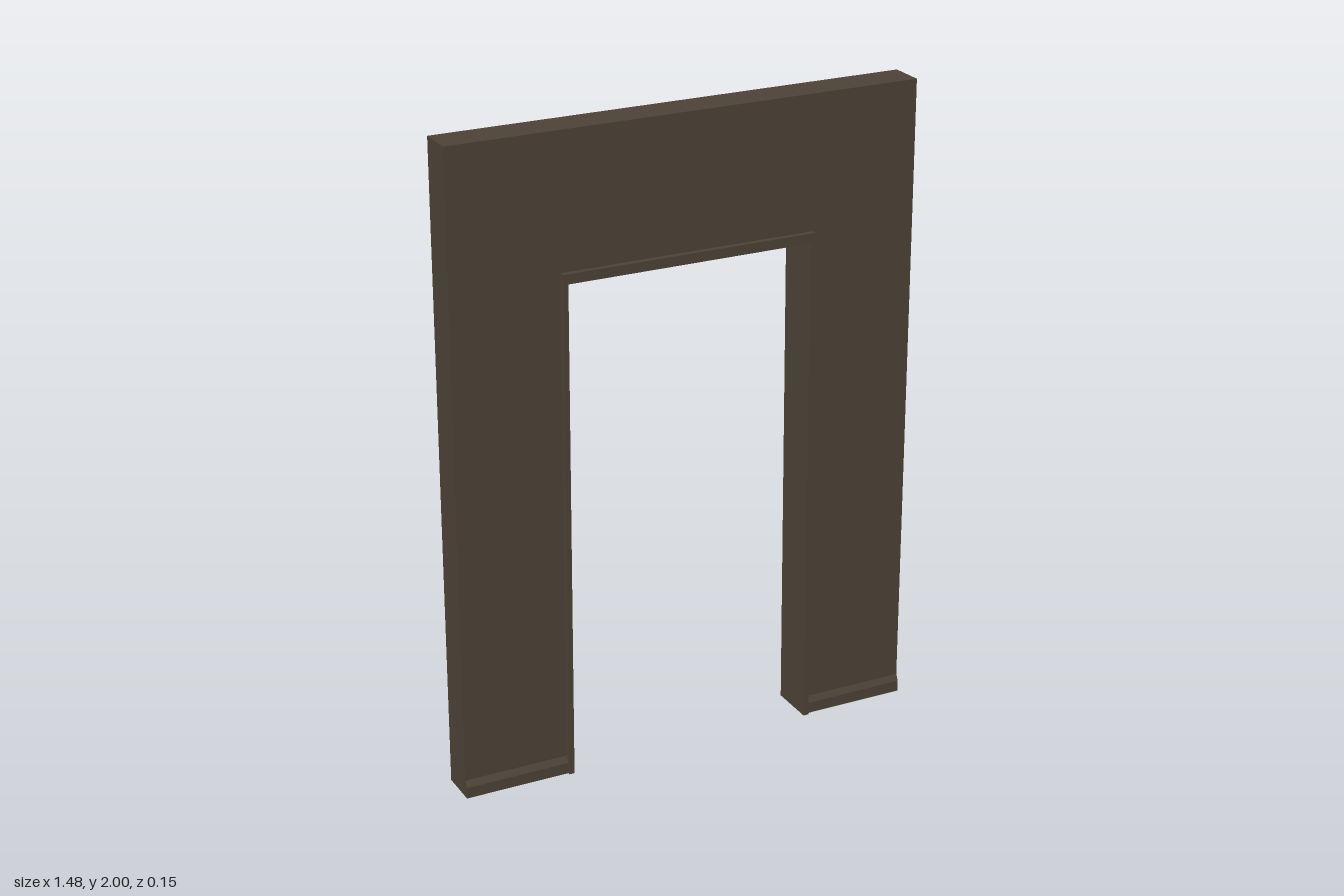
import * as THREE from 'three';
import { mergeGeometries } from 'three/addons/utils/BufferGeometryUtils.js';

// Open strip across the depth of the wall, following a path of [x, y] points
function rim(path, d) {
  const pos = [];
  for (let i = 0; i < path.length - 1; i++) {
    const [ax, ay] = path[i], [bx, by] = path[i + 1];
    pos.push(ax, ay, d, bx, by, d, bx, by, -d, ax, ay, d, bx, by, -d, ax, ay, -d);
  }
  const g = new THREE.BufferGeometry();
  g.setAttribute('position', new THREE.Float32BufferAttribute(pos, 3));
  g.computeVertexNormals();
  return g;
}

// Front and back faces of a symmetric outline
function faces(points, d) {
  const shape = new THREE.Shape(points.map(([x, y]) => new THREE.Vector2(x, y)));
  return [0, Math.PI].map((turn) => {
    const g = new THREE.ShapeGeometry(shape).toNonIndexed();
    g.deleteAttribute('uv');
    return g.translate(0, 0, d).rotateY(turn);
  });
}

// Symmetric upside-down U from its bottom half-width, top half-width and height
const arch = (bottom, top, h) => [[-bottom, 0], [-top, h], [top, h], [bottom, 0]];

export function createModel() {
  const model = new THREE.Group();
  const brown = new THREE.MeshStandardMaterial({ color: 0x4c4236, side: THREE.DoubleSide });
  brown.name = 'dark brown';
  const add = (geometry, name) => {
    const mesh = new THREE.Mesh(geometry, brown);
    mesh.name = name;
    model.add(mesh);
  };

  const wallPath = arch(0.74, 0.74, 2);
  const casingOuter = arch(0.411, 0.402, 1.587);
  const casingInner = arch(0.394, 0.387, 1.557).reverse();

  // Hollow wall, open underneath
  const wallDepth = 0.056;
  add(mergeGeometries([
    ...faces([...wallPath, ...[...casingOuter].reverse()], wallDepth),
    rim(wallPath, wallDepth),
  ]), 'wall');

  // Door casing, slightly proud of the wall on both sides
  const casingDepth = 0.074;
  add(mergeGeometries([
    ...faces([...casingOuter, ...casingInner], casingDepth),
    rim(casingOuter, casingDepth),
    rim(casingInner, casingDepth),
  ]), 'doorCasing');

  // Skirting boards along the front only
  const profile = new THREE.Shape();
  profile.moveTo(-0.055, 0);
  profile.lineTo(-0.066, 0);
  profile.lineTo(-0.066, 0.035);
  profile.lineTo(-0.057, 0.055);
  profile.lineTo(-0.055, 0.055);
  for (const [name, x] of [['leftSkirting', 0.41], ['rightSkirting', -0.74]]) {
    const board = new THREE.ExtrudeGeometry(profile, { depth: 0.33, bevelEnabled: false });
    add(board.rotateY(Math.PI / 2).translate(x, 0, 0), name);
  }
  return model;
}
